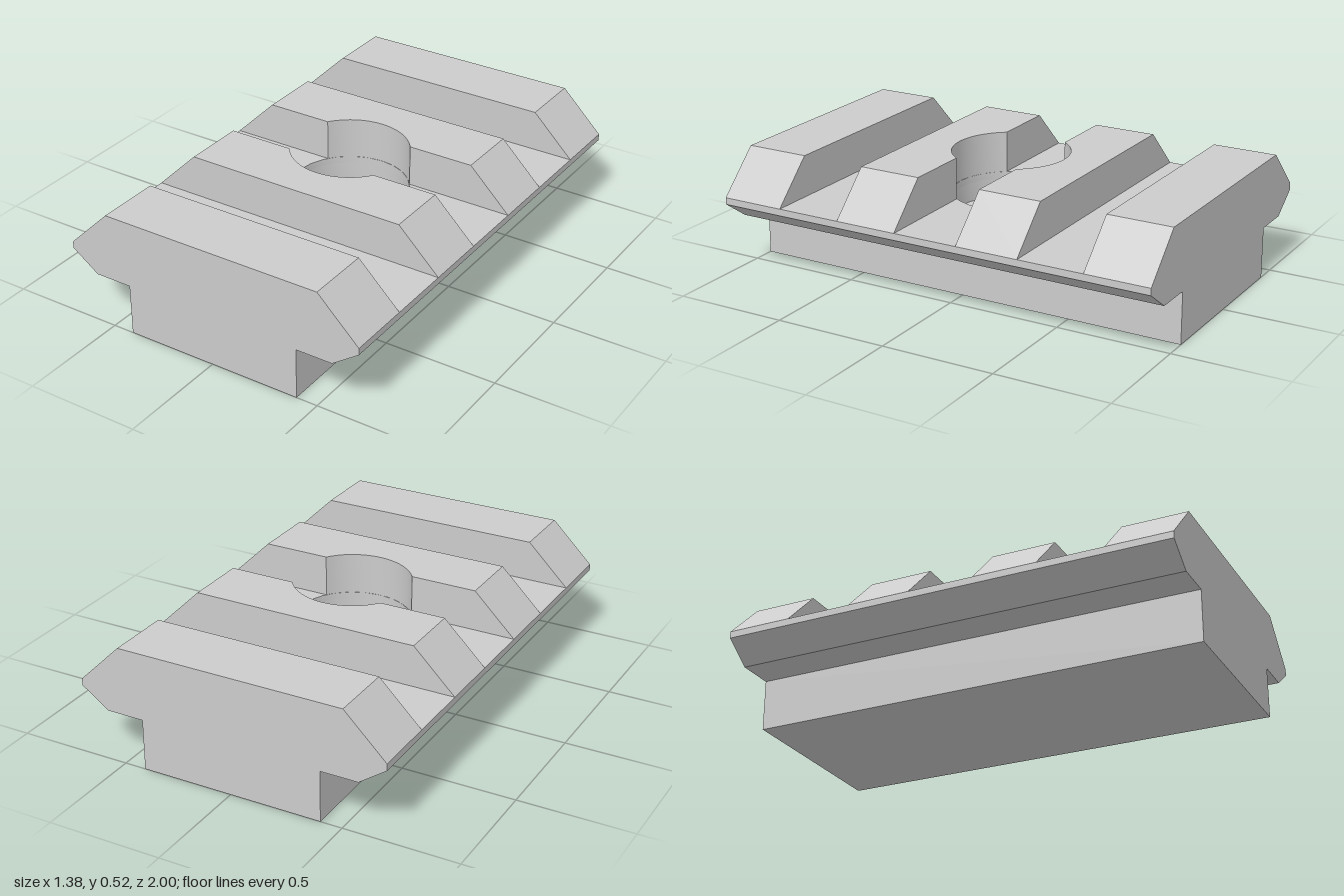
import * as THREE from 'three';
import { toCreasedNormals } from 'three/addons/utils/BufferGeometryUtils.js';

const HOLE = 0.255;      // radius of the round recess
const INNER = 0.145;     // half width of the middle slot
const material = new THREE.MeshStandardMaterial({ color: 0xcccccc });

// Upright slab from a plan outline; its outer sides slope from half width w0 (bottom) to w1 (top)
function slab(name, shape, y0, y1, w0, w1) {
  const geo = new THREE.ExtrudeGeometry(shape, { depth: y1 - y0, bevelEnabled: false, curveSegments: 12 });
  geo.rotateX(-Math.PI / 2);
  const p = geo.attributes.position;
  for (let i = 0; i < p.count; i++) {
    const x = p.getX(i);
    if (Math.abs(x) > 0.4) p.setX(i, Math.sign(x) * (p.getY(i) < (y1 - y0) / 2 ? w0 : w1));
  }
  geo.translate(0, y0, 0);
  geo.computeVertexNormals();
  const mesh = new THREE.Mesh(toCreasedNormals(geo, 0.5), material);
  mesh.name = name;
  return mesh;
}

function rectangle(w, a, b) {
  const s = new THREE.Shape();
  s.moveTo(-w, a).lineTo(w, a).lineTo(w, b).lineTo(-w, b).closePath();
  return s;
}

function pierced(w) {
  const s = rectangle(w, -1, 1);
  s.holes.push(new THREE.Path().absarc(0, 0, HOLE, 0, Math.PI * 2, true));
  return s;
}

// Tooth outline with an arc bitten out of its inner edge
function notched(w) {
  const a = Math.asin(INNER / HOLE), x = HOLE * Math.cos(a);
  const s = new THREE.Shape();
  s.moveTo(-w, INNER);
  s.lineTo(-x, INNER);
  s.absarc(0, 0, HOLE, Math.PI - a, a, true);
  s.lineTo(w, INNER);
  s.lineTo(w, 0.425);
  s.lineTo(-w, 0.425);
  s.closePath();
  return s;
}

export function createModel() {
  const model = new THREE.Group();
  model.name = 'slottedRail';

  // Foot, whose top is the floor of the recess
  model.add(slab('foot', rectangle(0.405, -1, 1), 0, 0.225, 0.405, 0.405));

  // Overhanging deck: bevelled underside and thin upright rim, with the round recess
  model.add(slab('deckUnderside', pierced(0.69), 0.225, 0.31, 0.57, 0.69));
  model.add(slab('deckRim', pierced(0.69), 0.31, 0.34, 0.69, 0.69));

  // Four cross teeth, mirrored front to back
  for (const [side, turn] of [['back', 0], ['front', Math.PI]]) {
    const inner = slab(side + 'InnerTooth', notched(0.505), 0.34, 0.522, 0.69, 0.505);
    const outer = slab(side + 'EndTooth', rectangle(0.505, 0.715, 1), 0.34, 0.522, 0.69, 0.505);
    inner.rotation.y = outer.rotation.y = turn;
    model.add(inner, outer);
  }
  return model;
}
